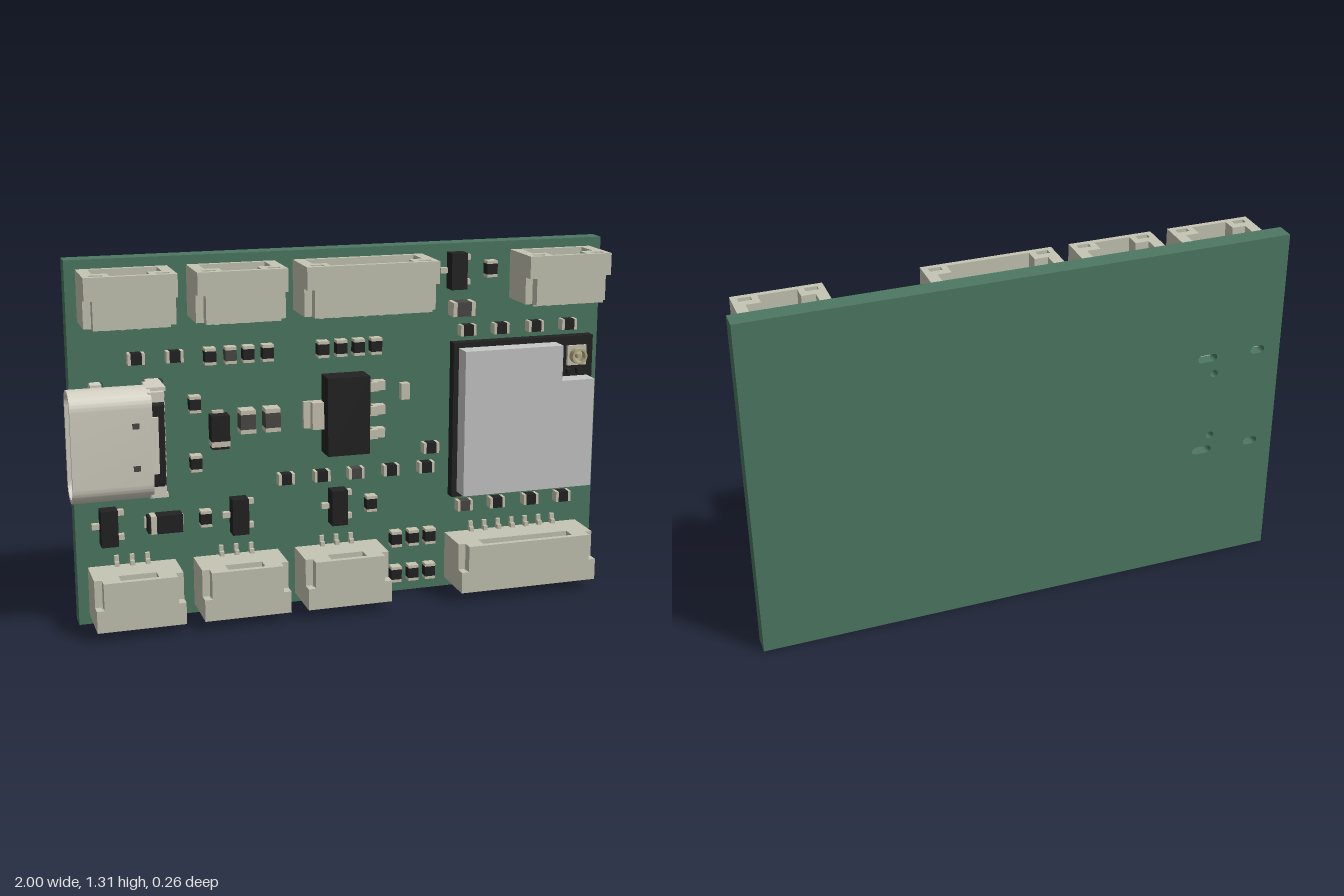
import * as THREE from 'three';
import { toCreasedNormals } from 'three/addons/utils/BufferGeometryUtils.js';

const mat = (name, color) => Object.assign(new THREE.MeshStandardMaterial({ color }), { name });
const FACE = -0.06; // z of the board's component side

export function createModel() {
  const M = {
    green: mat('board green', 0x4c7862),
    cream: mat('connector cream', 0xc5c5b4),
    shell: mat('socket shell metal', 0xd4d1c3),
    pin: mat('solder metal', 0xc9c4b2),
    silver: mat('shield silver', 0xc9c8c9),
    black: mat('chip black', 0x222222),
    grey: mat('capacitor grey', 0x4a4845),
    gold: mat('antenna gold', 0xb8ae86),
  };
  const model = new THREE.Group();
  model.name = 'circuitBoard';

  const add = (parent, name, geo, m, x = 0, y = 0, z = 0) => {
    const mesh = new THREE.Mesh(geo, m);
    mesh.name = name;
    mesh.position.set(x, y, z);
    parent.add(mesh);
    return mesh;
  };
  // box from its limits
  const box = (parent, name, m, x0, x1, y0, y1, z0, z1) =>
    add(parent, name, new THREE.BoxGeometry(x1 - x0, y1 - y0, z1 - z0), m,
      (x0 + x1) / 2, (y0 + y1) / 2, (z0 + z1) / 2);
  const group = (name, x = 0, y = 0, z = 0) => {
    const g = new THREE.Group();
    g.name = name;
    g.position.set(x, y, z);
    model.add(g);
    return g;
  };
  const poly = (pts, Type = THREE.Shape) => new Type(pts.map(p => new THREE.Vector2(...p)));
  const rect = (x0, x1, y0, y1, Type = THREE.Path) => poly([[x0, y0], [x1, y0], [x1, y1], [x0, y1]], Type);
  const rounded = (w, h, r, Type = THREE.Shape, cx = 0, cy = 0) => {
    const s = new Type(), a = w / 2 - r, b = h / 2 - r;
    s.absarc(cx + a, cy + b, r, 0, Math.PI / 2);
    s.absarc(cx - a, cy + b, r, Math.PI / 2, Math.PI);
    s.absarc(cx - a, cy - b, r, Math.PI, Math.PI * 1.5);
    s.absarc(cx + a, cy - b, r, Math.PI * 1.5, Math.PI * 2);
    s.closePath();
    return s;
  };
  const extrude = (shape, depth) =>
    new THREE.ExtrudeGeometry(shape, { depth, bevelEnabled: false, curveSegments: 8 });

  // Board with slots and peg holes for the socket
  const outline = rect(-0.98, 1, 0, 1.307, THREE.Shape);
  for (const y of [0.48, 0.867]) {
    outline.holes.push(rounded(0.075, 0.03, 0.0149, THREE.Path, -0.69, y));
    outline.holes.push(rounded(0.055, 0.03, 0.0149, THREE.Path, -0.89, y));
  }
  for (const y of [0.54, 0.8]) outline.holes.push(rounded(0.028, 0.028, 0.0139, THREE.Path, -0.72, y));
  add(model, 'board', extrude(outline, 0.07), M.green, 0, 0, -0.13);

  // Side-entry connectors: mouth at local y = 0, body running down
  function connector(cx, y, pins, flip) {
    const g = group('connector', cx, y, 0);
    if (flip) g.rotation.z = Math.PI;
    const pitch = 0.0555, h = 0.157 + (pins - 3) * pitch / 2;
    const cavity = () => poly([[-h + 0.04, -0.04], [h - 0.04, -0.04], [h - 0.04, 0.055],
      [h - 0.09, 0.055], [h - 0.09, 0.11], [-h + 0.09, 0.11], [-h + 0.09, 0.055], [-h + 0.04, 0.055]], THREE.Path);
    const notched = () => poly([[-h, FACE], [h, FACE], [h, 0.09], [h - 0.027, 0.09], [h - 0.027, 0.13],
      [-h + 0.027, 0.13], [-h + 0.027, 0.09], [-h, 0.09]], THREE.Shape);
    const layer = (name, shape, holes, top, depth) => {
      shape.holes.push(...holes);
      add(g, name, extrude(shape, depth).rotateX(Math.PI / 2), M.cream, 0, -top, 0);
    };
    layer('connectorMouth', rect(-h, h, FACE, 0.13, THREE.Shape),
      [cavity(), rect(-h + 0.022, -h + 0.067, 0.085, 0.11), rect(h - 0.067, h - 0.022, 0.085, 0.11)], 0, 0.08);
    layer('connectorBody', notched(), [cavity()], 0.08, 0.065);
    layer('connectorBack', notched(), [rect(-h + 0.09, h - 0.09, 0.06, 0.11)], 0.145, 0.033);
    for (let i = 0; i < pins; i++) {
      const x = (i - (pins - 1) / 2) * pitch;
      box(g, 'contact', M.pin, x - 0.007, x + 0.007, -0.15, -0.03, -0.022, -0.008);
      box(g, 'solderLeg', M.pin, x - 0.008, x + 0.008, -0.195, -0.175, -0.058, -0.035);
      box(g, 'solderFoot', M.pin, x - 0.008, x + 0.008, -0.215, -0.19, FACE, -0.048);
    }
  }
  for (const [x, n] of [[-0.785, 3], [-0.405, 3], [0.058, 6], [0.797, 3]]) connector(x, 1.275, n, false);
  for (const [x, n] of [[-0.785, 3], [-0.405, 3], [-0.027, 3], [0.67, 7]]) connector(x, 0.035, n, true);

  // Rounded socket on the edge, open towards -x
  const usb = group('edgeSocket', 0, 0.678, 0);
  const ring = rounded(0.145, 0.395, 0.062);
  ring.holes.push(rounded(0.117, 0.367, 0.048, THREE.Path));
  const along = (geo) => toCreasedNormals(geo.rotateY(Math.PI / 2), 0.6);
  add(usb, 'socketShell', along(extrude(ring, 0.28)), M.shell, -1, 0, 0.0155);
  add(usb, 'socketCore', along(extrude(rounded(0.116, 0.366, 0.047), 0.11)), M.black, -0.79, 0, 0.0155);
  box(usb, 'socketTongue', M.black, -0.97, -0.78, -0.13, 0.13, 0.003, 0.028);
  box(usb, 'socketRearBlock', M.black, -0.72, -0.672, -0.16, 0.16, FACE, 0.05);
  for (const s of [-1, 1]) {
    const b = (n, m, x0, x1, y0, y1, z0, z1) => box(usb, n, m, x0, x1, Math.min(s * y0, s * y1), Math.max(s * y0, s * y1), z0, z1);
    b('shellTab', M.shell, -0.73, -0.675, 0.15, 0.185, 0.04, 0.072);
    b('shellSide', M.shell, -0.73, -0.665, 0.182, 0.197, -0.05, 0.05);
    b('shellLip', M.shell, -0.73, -0.7, 0, 0.1, 0.074, 0.088);
    b('shellLeg', M.shell, -0.715, -0.665, 0.183, 0.197, -0.1, -0.04);
    b('shellLeg', M.shell, -0.91, -0.87, 0.183, 0.197, -0.1, -0.04);
    b('springSlot', M.grey, -0.79, -0.765, 0.065, 0.085, 0.086, 0.0895);
  }
  for (let i = 0; i < 12; i++) {
    const y = (i - 5.5) * 0.026;
    box(usb, 'socketLeg', M.pin, -0.675, -0.652, y - 0.007, y + 0.007, FACE, -0.045);
  }

  // Radio module: carrier, notched shield can and antenna jack
  const radio = group('radioModule');
  box(radio, 'moduleCarrier', M.black, 0.412, 0.965, 0.362, 0.947, FACE, -0.02);
  const can = poly([[0.432, 0.383], [0.945, 0.383], [0.945, 0.795], [0.815, 0.795],
    [0.815, 0.928], [0.432, 0.928]], THREE.Shape);
  add(radio, 'shieldCan', extrude(can, 0.07), M.silver, 0, 0, -0.02);
  box(radio, 'jackBase', M.pin, 0.86, 0.935, 0.838, 0.912, -0.02, -0.008);
  const jack = [[0.022, -0.01], [0.03, -0.01], [0.03, 0.02], [0.022, 0.02], [0.022, -0.01]].map(p => new THREE.Vector2(...p));
  add(radio, 'jackRing', toCreasedNormals(new THREE.LatheGeometry(jack, 24).rotateX(Math.PI / 2), 0.6), M.gold, 0.897, 0.875, 0);
  add(radio, 'jackCentre', new THREE.CylinderGeometry(0.009, 0.009, 0.025, 12).rotateX(Math.PI / 2), M.gold, 0.897, 0.875, 0.002);
  for (const [x, y] of [[0.835, 0.82], [0.87, 0.815], [0.91, 0.815], [0.835, 0.86]])
    box(radio, 'modulePart', M.black, x - 0.012, x + 0.012, y - 0.01, y + 0.01, -0.02, 0);

  // Voltage regulator with heat tab and three legs
  const reg = group('regulator');
  box(reg, 'regulatorBody', M.black, -0.082, 0.075, 0.573, 0.86, -0.05, 0.035);
  box(reg, 'regulatorTab', M.pin, -0.15, -0.08, 0.663, 0.762, FACE, -0.045);
  box(reg, 'regulatorTabRise', M.pin, -0.125, -0.08, 0.663, 0.762, -0.045, -0.015);
  for (const y of [0.63, 0.717, 0.807]) {
    box(reg, 'regulatorLegTop', M.pin, 0.07, 0.12, y - 0.017, y + 0.017, -0.025, -0.01);
    box(reg, 'regulatorLegFoot', M.pin, 0.105, 0.152, y - 0.017, y + 0.017, FACE, -0.025);
  }

  // Small transistors
  for (const [x, y] of [[0.422, 1.212], [-0.867, 0.365], [-0.397, 0.365], [-0.027, 0.365]]) {
    const t = group('transistor', x, y, 0);
    box(t, 'transistorBody', M.black, -0.03, 0.03, -0.066, 0.066, -0.054, 0);
    for (const [s, dy] of [[-1, 0], [1, 0.045], [1, -0.045]])
      add(t, 'transistorLeg', new THREE.BoxGeometry(0.03, 0.02, 0.02), M.pin, s * 0.042, dy, -0.05);
  }

  // Diodes with a pale cathode end
  for (const [x, y, a] of [[-0.463, 0.683, Math.PI / 2], [-0.667, 0.363, 0]]) {
    const d = group('diode', x, y, 0);
    d.rotation.z = a;
    box(d, 'diodeBody', M.black, -0.033, 0.06, -0.033, 0.033, -0.055, -0.005);
    box(d, 'diodeBand', M.pin, -0.053, -0.033, -0.033, 0.033, -0.055, -0.005);
    box(d, 'diodeEnd', M.black, -0.063, -0.053, -0.03, 0.03, -0.055, -0.01);
    for (const s of [-1, 1]) add(d, 'diodeTerminal', new THREE.BoxGeometry(0.02, 0.04, 0.012), M.pin, s * 0.06, 0, -0.054);
  }

  // Two-terminal chip parts, l long, w wide, h high
  function chip(x, y, upright, body = M.black, l = 0.06, w = 0.04, h = 0.037) {
    const g = group('chipPart', x, y, FACE);
    if (upright) g.rotation.z = Math.PI / 2;
    box(g, 'chipBody', body, -l * 0.32, l * 0.32, -w / 2, w / 2, 0, h);
    for (const s of [-1, 1])
      add(g, 'chipTerminal', new THREE.BoxGeometry(l * 0.18, w, h), M.pin, s * l * 0.41, 0, h / 2);
  }
  for (const x of [-0.75, -0.615]) chip(x, 0.96, false);
  for (const x of [-0.49, -0.417, -0.353, -0.283]) chip(x, 0.953, true, x === -0.417 ? M.grey : M.black);
  for (const x of [-0.08, -0.012, 0.053, 0.118]) chip(x, 0.953, true);
  for (const x of [0.47, 0.6, 0.737, 0.87]) {
    chip(x, 0.99, false);
    chip(x, 0.322, false, x === 0.47 ? M.grey : M.black);
  }
  for (const x of [-0.22, -0.086, 0.043, 0.178, 0.315]) chip(x, 0.484, false, x === 0.043 ? M.grey : M.black);
  chip(0.332, 0.557, false);
  for (const [x, y] of [[-0.548, 0.785], [-0.548, 0.57], [-0.518, 0.363], [0.102, 0.363], [0.557, 1.212]]) chip(x, y, true);
  for (const x of [0.2, 0.267, 0.333]) for (const y of [0.215, 0.077]) chip(x, y, true);
  for (const x of [-0.363, -0.273]) chip(x, 0.713, true, M.grey, 0.085, 0.055, 0.055);
  chip(0.444, 1.073, false, M.grey, 0.085, 0.052, 0.058);
  chip(0.231, 0.777, true, M.cream, 0.06, 0.032, 0.03);
  return model;
}
